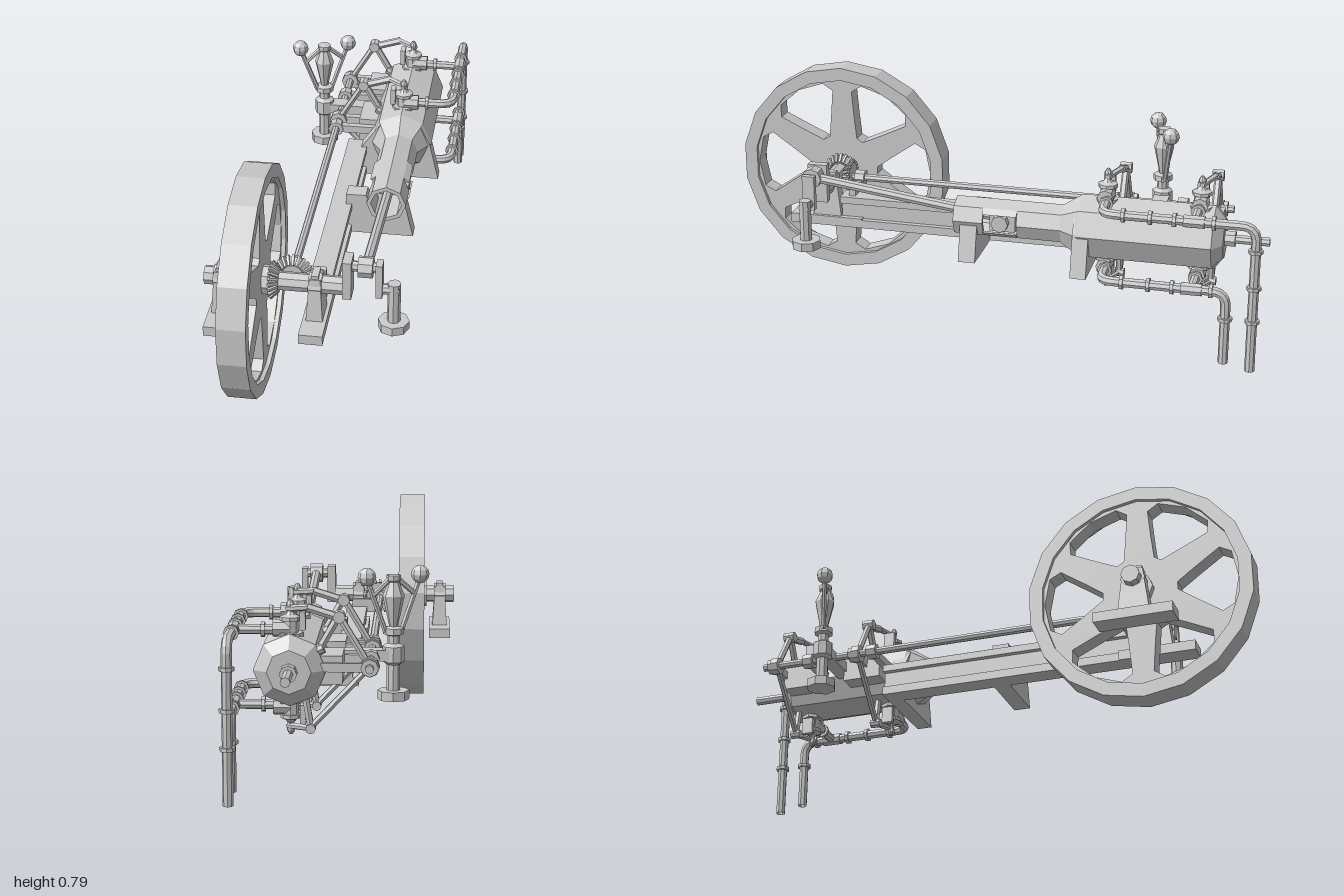
import * as THREE from 'three';

const V = (x, y, z) => new THREE.Vector3(x, y, z);
const mat = new THREE.MeshStandardMaterial({ color: 0xcccccc, flatShading: true, side: THREE.DoubleSide });
const CX = 0.165, CY = 0.395; // cylinder axis
const SX = -0.085, SY = 0.405, WZ = 0.615; // lay shaft axis, crankshaft position

export function createModel() {
  const root = new THREE.Group();
  root.name = 'steamEngine';

  function add(name, geo) {
    const m = new THREE.Mesh(geo, mat);
    m.name = name;
    root.add(m);
    return m;
  }
  // box given by its limits
  function box(name, x0, x1, y0, y1, z0, z1) {
    const g = new THREE.BoxGeometry(x1 - x0, y1 - y0, z1 - z0);
    return add(name, g.translate((x0 + x1) / 2, (y0 + y1) / 2, (z0 + z1) / 2));
  }
  // round or square bar between two points
  function bar(name, a, b, r0, r1 = r0, sides = 8) {
    const m = add(name, new THREE.CylinderGeometry(r1, r0, a.distanceTo(b), sides));
    m.position.copy(a).lerp(b, 0.5);
    m.quaternion.setFromUnitVectors(V(0, 1, 0), b.clone().sub(a).normalize());
    return m;
  }
  function turned(name, pts, pos, sides = 8) {
    const m = add(name, new THREE.LatheGeometry(pts.map(p => new THREE.Vector2(p[0], p[1])), sides));
    m.position.copy(pos);
    return m;
  }
  // flat outline in x-y, thickened along z
  function plate(name, pts, z0, z1) {
    const s = new THREE.Shape(pts.map(p => new THREE.Vector2(p[0], p[1])));
    return add(name, new THREE.ExtrudeGeometry(s, { depth: z1 - z0, bevelEnabled: false }).translate(0, 0, z0));
  }
  // pipe with rounded corners
  function pipe(name, pts, r, bend = 0.05) {
    const path = new THREE.CurvePath();
    let last = pts[0];
    for (let i = 1; i < pts.length - 1; i++) {
      const c = pts[i];
      const a = c.clone().add(pts[i - 1].clone().sub(c).setLength(bend));
      const b = c.clone().add(pts[i + 1].clone().sub(c).setLength(bend));
      path.add(new THREE.LineCurve3(last, a));
      path.add(new THREE.QuadraticBezierCurve3(a, c, b));
      last = b;
    }
    path.add(new THREE.LineCurve3(last, pts[pts.length - 1]));
    add(name, new THREE.TubeGeometry(path, 64, r, 8));
  }

  // Flywheel: rim and pierced web with six spokes
  const circle = (r, n) => Array.from({ length: n }, (_, i) => {
    const a = Math.PI / 2 + i / n * Math.PI * 2;
    return new THREE.Vector2(r * Math.cos(a), r * Math.sin(a));
  });
  function wheelPart(name, outer, holes, x0, x1) {
    const s = new THREE.Shape(outer);
    s.holes = holes.map(h => new THREE.Path(h));
    const g = new THREE.ExtrudeGeometry(s, { depth: x1 - x0, bevelEnabled: false });
    add(name, g.rotateY(Math.PI / 2).translate(x0, 0.402, WZ));
  }
  const petal = [[0.13, -6], [0.2, -17], [0.3, -23], [0.33, -17], [0.335, 0], [0.33, 17], [0.3, 23], [0.2, 17], [0.13, 6]];
  const holes = [];
  for (let i = 0; i < 6; i++) holes.push(petal.map(([r, d]) => {
    const a = (d + i * 60) * Math.PI / 180;
    return new THREE.Vector2(r * Math.cos(a), r * Math.sin(a));
  }));
  wheelPart('flywheelRim', circle(0.39, 18), [circle(0.343, 18)], -0.255, -0.16);
  wheelPart('flywheelSpokes', circle(0.347, 18), holes, -0.24, -0.175);

  // Crankshaft with its two pedestal bearings
  bar('crankshaft', V(-0.37, SY, WZ), V(0.12, SY, WZ), 0.032);
  bar('flywheelHub', V(-0.265, SY, WZ), V(-0.15, SY, WZ), 0.05);
  for (const x of [-0.315, 0]) {
    box('bearingBase', x - 0.04, x + 0.04, 0.255, 0.29, 0.48, 0.75);
    const g = new THREE.CylinderGeometry(0.018 * Math.SQRT2, 0.028 * Math.SQRT2, 0.15, 4);
    add('bearingPedestal', g.rotateY(Math.PI / 4).scale(1, 1, 1.9).translate(x, 0.365, WZ));
    bar('bearingShell', V(x - 0.022, SY, WZ), V(x + 0.022, SY, WZ), 0.042);
    box('bearingCap', x - 0.012, x + 0.012, 0.43, 0.452, WZ - 0.03, WZ + 0.03);
  }

  // Crank, pin and outboard column
  box('crankWeb', 0.09, 0.12, 0.375, 0.515, WZ - 0.035, WZ + 0.035);
  bar('crankPin', V(0.1, 0.485, WZ), V(0.22, 0.485, WZ), 0.018);
  box('outerCrankWeb', 0.198, 0.22, 0.38, 0.505, WZ - 0.022, WZ + 0.022);
  bar('outerStub', V(0.2, SY, WZ), V(0.275, SY, WZ), 0.018);
  turned('outerColumn', [[0, 0.255], [0.052, 0.255], [0.052, 0.285], [0.022, 0.285], [0.022, 0.43], [0, 0.43]], V(0.257, 0, WZ));

  // Connecting rod and crosshead
  bar('connectingRod', V(CX, 0.485, WZ), V(CX, CY, -0.08), 0.018);
  bar('bigEnd', V(0.14, 0.485, WZ), V(0.188, 0.485, WZ), 0.036);
  bar('crossheadPin', V(CX - 0.066, CY, -0.08), V(CX + 0.066, CY, -0.08), 0.03);
  box('crosshead', CX - 0.04, CX + 0.04, CY - 0.035, CY + 0.035, -0.13, -0.04);
  bar('pistonRod', V(CX, CY, -0.1), V(CX, CY, -1), 0.016);

  // Crosshead guide: open tube with windows at the sides
  const angled = (r, n) => circle(r, n).map(p => p.clone().add(new THREE.Vector2(CX, CY)));
  for (const [z0, z1] of [[-0.02, 0.085], [-0.31, -0.14]]) {
    const s = new THREE.Shape(angled(0.07, 8));
    s.holes = [new THREE.Path(angled(0.055, 8))];
    add('guideTube', new THREE.ExtrudeGeometry(s, { depth: z1 - z0, bevelEnabled: false }).translate(0, 0, z0));
  }
  for (const s of [1, -1]) plate('guideBar',
    [[0.07, 0.018], [0.0495, 0.0495], [0, 0.07], [-0.0495, 0.0495], [-0.07, 0.018], [-0.055, 0.018], [-0.039, 0.039], [0, 0.055], [0.039, 0.039], [0.055, 0.018]]
      .map(([x, y]) => [CX + x, CY + s * (y + (y < 0.02 ? 0.015 : 0))]), -0.14, -0.02);

  // Main cylinder
  const cyl = turned('steamCylinder', [[0, 0.85], [0.07, 0.85], [0.115, 0.815], [0.115, 0.36], [0.068, 0.29], [0, 0.29]], V(CX, CY, 0));
  cyl.rotation.x = -Math.PI / 2;
  bar('rearGland', V(CX, CY, -0.84), V(CX, CY, -0.885), 0.028);

  // Bed beam and cross legs
  const zb = -0.4, zf = 0.56;
  box('beamFoot', -0.035, 0.04, 0.255, 0.285, zb, zf);
  box('beamWeb', -0.015, 0.02, 0.28, 0.35, zb, zf);
  box('beamTop', -0.035, 0.04, 0.345, 0.37, zb, zf);
  plate('guideLeg', [[0.02, 0.255], [0.26, 0.255], [0.225, 0.4], [0.205, 0.35], [CX, 0.33], [0.12, 0.35], [0.09, 0.41], [0.02, 0.41]], 0, 0.06);
  plate('cylinderLeg', [[0.02, 0.255], [0.31, 0.255], [0.275, 0.4], [0.24, 0.47], [0.09, 0.47], [0.02, 0.37]], -0.4, -0.345);

  // Lay shaft with a pair of mitre gears
  bar('layShaft', V(SX, SY, 0.56), V(SX, SY, -0.85), 0.014);
  function gear(toApex) {
    const g = new THREE.Group();
    g.name = 'mitreGear';
    const body = new THREE.Mesh(new THREE.CylinderGeometry(0.034, 0.055, 0.024, 20), mat);
    body.name = 'gearBody';
    g.add(body);
    for (let i = 0; i < 20; i++) {
      const t = new THREE.Mesh(new THREE.BoxGeometry(0.012, 0.036, 0.009), mat);
      t.name = 'gearTooth';
      const a = i / 20 * Math.PI * 2;
      t.position.set(0.048 * Math.cos(a), 0, 0.048 * Math.sin(a));
      t.rotation.set(0, -a, Math.PI / 4);
      g.add(t);
    }
    g.position.copy(V(SX, SY, WZ)).addScaledVector(toApex, -0.052);
    g.quaternion.setFromUnitVectors(V(0, 1, 0), toApex);
    root.add(g);
  }
  gear(V(1, 0, 0));
  gear(V(0, 0, 1));
  for (const z of [0.52, -0.42, -0.49, -0.67, -0.81]) {
    bar('layShaftBearing', V(SX, SY, z - 0.018), V(SX, SY, z + 0.018), 0.028);
    if (z > 0) box('bearingArm', SX, 0.02, 0.35, 0.4, z - 0.012, z + 0.012);
    else box('bearingArm', SX, 0.08, SY - 0.014, SY + 0.014, z - 0.012, z + 0.012);
  }
  for (const z of [-0.5, -0.74]) box('valveGearBracket', 0, 0.08, 0.35, 0.44, z - 0.07, z + 0.07);
  box('governorBracket', -0.155, 0.07, 0.385, 0.42, -0.615, -0.56);

  // Valves with their linkages, above and below the cylinder
  const valve = [[0, 0.09], [0.042, 0.09], [0.042, 0.112], [0.026, 0.112], [0.026, 0.15], [0.034, 0.15], [0.034, 0.162],
    [0.018, 0.168], [0.009, 0.18], [0.009, 0.19], [0.013, 0.195], [0.013, 0.203], [0.006, 0.215], [0, 0.215]];
  for (const z of [-0.445, -0.765]) {
    for (const s of [1, -1]) {
      turned(s > 0 ? 'inletValve' : 'exhaustValve', valve.map(([r, y]) => [r, y * s]), V(CX, CY, z));
      bar('valveBranch', V(CX, CY + 0.125 * s, z), V(CX + 0.055, CY + 0.125 * s, z), 0.028);
      box('valveYoke', CX - 0.048, CX - 0.03, CY + 0.15 * s - 0.03, CY + 0.15 * s + 0.03, z - 0.02, z + 0.02);
    }
    const q = z - 0.035;
    bar('eccentric', V(SX, SY, q - 0.014), V(SX, SY, q + 0.014), 0.032);
    bar('upperPushRod', V(SX, SY, q), V(0.01, 0.565, q), 0.012, 0.012, 6);
    bar('upperRocker', V(0.01, 0.56, q), V(0.11, 0.592, q), 0.014, 0.014, 6);
    bar('rockerStay', V(0.015, 0.56, q), V(0.075, 0.455, q), 0.013, 0.013, 6);
    bar('rockerPivot', V(0.01, 0.563, q - 0.02), V(0.01, 0.563, q + 0.02), 0.02);
    bar('stayFoot', V(0.06, 0.465, q), V(0.11, 0.44, q), 0.018);
    bar('upperLink', V(0.105, 0.592, q), V(0.175, 0.582, z), 0.011, 0.011, 6);
    bar('lowerPushRod', V(SX, SY, q), V(0.1, 0.21, q), 0.011, 0.011, 6);
    bar('lowerPivot', V(0.1, 0.207, q - 0.018), V(0.1, 0.207, q + 0.018), 0.016);
    bar('lowerStay', V(0.1, 0.21, q), V(0.115, 0.3, q), 0.012, 0.012, 6);
    bar('lowerLink', V(0.095, 0.205, q), V(0.175, 0.207, z), 0.01, 0.01, 6);
  }

  // Steam and exhaust pipes with flanges
  const PX = 0.345;
  for (const [name, y, zEnd, yEnd] of [['steamPipe', 0.515, -0.97, 0], ['exhaustPipe', 0.275, -0.88, 0.02]]) {
    pipe(name, [V(CX, y, -0.455), V(PX, y, -0.455), V(PX, y, zEnd), V(PX, yEnd, zEnd)], 0.017);
    bar(name + 'Branch', V(CX, y, -0.765), V(PX, y, -0.765), 0.016);
    bar(name + 'Tee', V(PX, y, -0.8), V(PX, y, -0.73), 0.022);
    for (const z of [-0.455, -0.765]) bar('pipeFlange', V(0.245, y, z), V(0.257, y, z), 0.025);
    for (const z of [-0.53, -0.62, -0.7, -0.83]) bar('pipeFlange', V(PX, y, z - 0.006), V(PX, y, z + 0.006), 0.025);
    for (const h of [0.43, 0.3, 0.18]) if (h < y - 0.05) bar('pipeFlange', V(PX, h - 0.006, zEnd), V(PX, h + 0.006, zEnd), 0.025);
  }

  // Governor with two swinging balls
  const gx = -0.155, gz = -0.585;
  turned('governorColumn', [[0, 0.255], [0.052, 0.255], [0.052, 0.285], [0.022, 0.285], [0.022, 0.37], [0.036, 0.38], [0.036, 0.43],
    [0.02, 0.44], [0.02, 0.465], [0.034, 0.47], [0.034, 0.49], [0.014, 0.495], [0.036, 0.595], [0.018, 0.64], [0.024, 0.645], [0.024, 0.662], [0, 0.665]], V(gx, 0, gz));
  for (const s of [1, -1]) {
    const at = (d, y) => V(gx + s * d, y, gz - s * d * 0.42);
    bar('ballArm', at(0.026, 0.48), at(0.082, 0.645), 0.009, 0.009, 6);
    bar('topLink', at(0.01, 0.652), at(0.066, 0.6), 0.009, 0.009, 6);
    const ball = add('governorBall', new THREE.SphereGeometry(0.03, 8, 6));
    ball.position.copy(at(0.085, 0.66));
  }
  return root;
}
